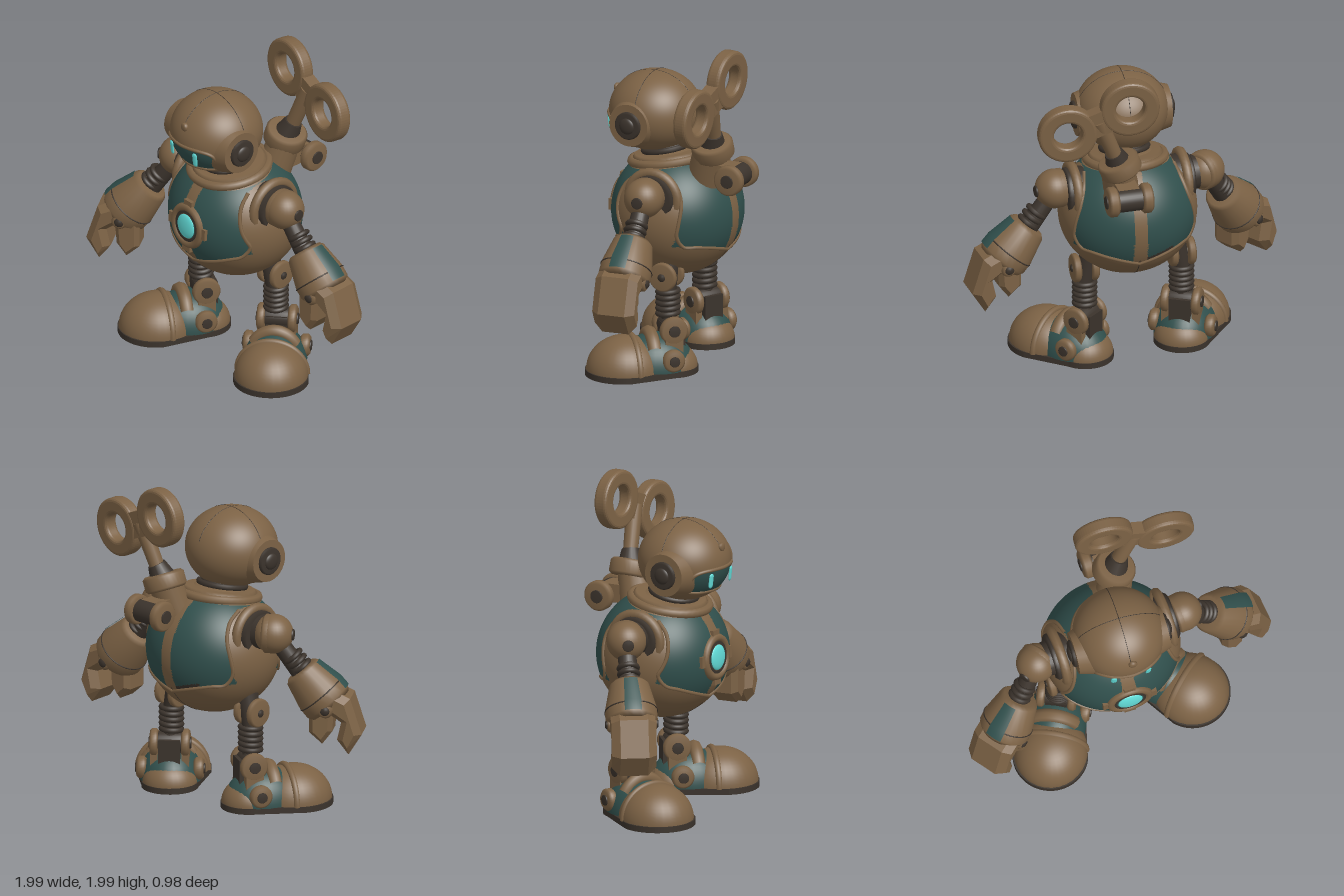
import * as THREE from 'three';

const mat = (name, color) => {
  const m = new THREE.MeshStandardMaterial({ color });
  m.name = name;
  return m;
};

export function createModel() {
  const brown = mat('bronze brown', 0x7c6245);
  const teal = mat('dark teal', 0x304f4c);
  const dark = mat('dark iron', 0x3b332c);
  const glow = mat('cyan glow', 0x62dcd8);
  const brownFlat = mat('faceted bronze', 0x7c6245);
  brownFlat.flatShading = true;
  const root = new THREE.Group();
  root.name = 'windUpRobot';

  const group = (parent, name, x = 0, y = 0, z = 0) => {
    const g = new THREE.Group();
    g.name = name;
    g.position.set(x, y, z);
    parent.add(g);
    return g;
  };
  const add = (parent, name, geo, material, x = 0, y = 0, z = 0) => {
    const m = new THREE.Mesh(geo, material);
    m.name = name;
    m.position.set(x, y, z);
    parent.add(m);
    return m;
  };
  // Rounded-edge disc or drum lying along an axis
  const drum = (parent, name, r, len, material, x, y, z, axis = 'y') => {
    const b = Math.min(0.015, len / 4), h = len / 2;
    const pts = [[0, -h], [r - b, -h], [r, -h + b], [r, h - b], [r - b, h], [0, h]];
    const geo = new THREE.LatheGeometry(pts.map(p => new THREE.Vector2(...p)), 32);
    if (axis === 'x') geo.rotateZ(Math.PI / 2);
    if (axis === 'z') geo.rotateX(Math.PI / 2);
    return add(parent, name, geo, material, x, y, z);
  };
  // Rod between two points
  const rod = (parent, name, a, b, r1, r2, material, sides = 20) => {
    const A = new THREE.Vector3(...a), B = new THREE.Vector3(...b), d = B.clone().sub(A);
    const m = add(parent, name, new THREE.CylinderGeometry(r2, r1, d.length(), sides), material);
    m.position.copy(A).addScaledVector(d, 0.5);
    m.quaternion.setFromUnitVectors(new THREE.Vector3(0, 1, 0), d.normalize());
    return m;
  };
  // Ellipsoid whose faces are sorted between colours by a rule on the direction
  const paintedBall = (parent, name, [rx, ry, rz], [w, h], materials, rule) => {
    const geo = new THREE.SphereGeometry(1, w, h), p = geo.attributes.position, idx = geo.index.array;
    const sets = materials.map(() => []), c = new THREE.Vector3(), v = new THREE.Vector3();
    for (let i = 0; i < idx.length; i += 3) {
      c.set(0, 0, 0);
      for (let k = 0; k < 3; k++) c.add(v.fromBufferAttribute(p, idx[i + k]));
      sets[rule(c.divideScalar(3))].push(idx[i], idx[i + 1], idx[i + 2]);
    }
    geo.setIndex(sets.flat());
    let start = 0;
    sets.forEach((s, i) => {
      geo.addGroup(start, s.length, i);
      start += s.length;
    });
    geo.scale(rx, ry, rz);
    return add(parent, name, geo, materials);
  };
  const dome = (rx, ry, rz) => new THREE.SphereGeometry(1, 32, 14, 0, Math.PI * 2, 0, Math.PI / 2).scale(rx, ry, rz);
  const ring = (r, t, arc = Math.PI * 2) => new THREE.TorusGeometry(r, t, 8, 40, arc);

  // Round body: teal panels inside brown collar, belt, side plates and strips
  const body = group(root, 'body', 0, 0.93, 0.045);
  body.rotation.set(0.15, -0.05, 0);
  const B = [0.42, 0.395, 0.395];
  const sideEdge = y => 0.87 - 0.3 * Math.max(y, 0);
  const beltEdge = (a, front) => (front ? -0.46 : -0.66) + 0.33 * a;
  paintedBall(body, 'bodyShell', B, [200, 120], [brown, teal, dark], ({ x, y, z }) => {
    const a = Math.abs(x), front = z > 0, low = beltEdge(a, front);
    if (a < 0.1 || a > sideEdge(y) || y > 0.78 || y < low) return 0;
    return !front && x < 0 && x > -0.5 && y < low + 0.07 ? 2 : 1;
  });
  // Raised trim along the belt and up the side plates
  for (const sx of [-1, 1]) for (const sz of [-1, 1]) {
    const pts = [], corner = beltEdge(0.87, sz > 0);
    const put = (a, y) => pts.push(new THREE.Vector3(sx * a * B[0], y * B[1], sz * Math.sqrt(Math.max(0, 1 - a * a - y * y)) * B[2]));
    for (let i = 0; i < 7; i++) put(0.13 * i, beltEdge(0.13 * i, sz > 0));
    for (let i = 1; i < 8; i++) {
      const y = corner + (0.72 - corner) * i / 7;
      put(sideEdge(y), y);
    }
    add(body, 'panelTrim', new THREE.TubeGeometry(new THREE.CatmullRomCurve3(pts), 60, 0.012, 6), brown);
  }
  add(body, 'collar', ring(0.235, 0.028).rotateX(Math.PI / 2), brown, 0, 0.325, 0);
  drum(body, 'collarPlate', 0.225, 0.06, brown, 0, 0.335, 0);
  add(body, 'bodySeam', ring(0.394, 0.003, Math.PI * 0.6).rotateZ(Math.PI * 1.2).rotateY(Math.PI / 2), dark);
  // Chest lamp
  const lamp = group(body, 'chestLamp');
  lamp.rotation.x = -0.19;
  add(lamp, 'lampRim', ring(0.118, 0.026), brown, 0, 0, 0.37);
  drum(lamp, 'lampSocket', 0.112, 0.05, dark, 0, 0, 0.362, 'z');
  add(lamp, 'lampLens', dome(0.078, 0.02, 0.078).rotateX(Math.PI / 2), glow, 0, 0, 0.385);
  for (let i = 0; i < 4; i++) {
    const a = i * Math.PI / 2;
    add(lamp, 'lampLug', new THREE.BoxGeometry(0.07, 0.07, 0.04), brown, 0.133 * Math.cos(a), 0.133 * Math.sin(a), 0.362);
  }

  // Neck and head
  rod(root, 'neck', [0, 1.22, 0.09], [0, 1.36, 0.15], 0.14, 0.13, dark);
  for (const t of [0, 1]) add(root, 'neckRing', ring(0.14, 0.018).rotateX(Math.PI / 2 + 0.2), dark, 0, 1.27 + t * 0.035, 0.11 + t * 0.01);
  const R = [0.28, 0.247, 0.28];
  const head = group(root, 'head', -0.005, 1.527, 0.195);
  head.rotation.y = -0.06;
  const vis = { y: -0.088, w: 0.205, h: 0.075 };
  paintedBall(head, 'headShell', R, [144, 90], [brown, teal], ({ x, y, z }) => z > 0 &&
    Math.abs(x * R[0] / vis.w) ** 5 + Math.abs((y * R[1] - vis.y) / vis.h) ** 4 < 1 ? 1 : 0);
  const onHead = (x, y) => new THREE.Vector3(x, y, R[2] * Math.sqrt(1 - (x / R[0]) ** 2 - (y / R[1]) ** 2));
  const rim = [];
  for (let i = 0; i < 32; i++) {
    const a = i / 32 * Math.PI * 2, c = Math.cos(a), s = Math.sin(a);
    rim.push(onHead(vis.w * Math.sign(c) * Math.abs(c) ** 0.4, vis.y + vis.h * Math.sign(s) * Math.abs(s) ** 0.5));
  }
  add(head, 'visorFrame', new THREE.TubeGeometry(new THREE.CatmullRomCurve3(rim, true), 96, 0.011, 8, true), brown);
  const eyeGeo = new THREE.CapsuleGeometry(0.018, 0.056, 6, 12).scale(1, 1, 0.4);
  for (const s of [-1, 1]) {
    const p = onHead(s * 0.108, -0.08), ear = s * (s > 0 ? 0.28 : 0.295);
    add(head, 'eye', eyeGeo, glow, p.x, p.y, p.z + 0.014).rotation.set(0.12, s * 0.2, 0);
    rod(head, 'earPlate', [s * 0.17, -0.035, 0.035], [ear, -0.035, 0.035], 0.165, 0.13, brown, 32);
    drum(head, 'earHub', 0.085, 0.04, dark, ear, -0.035, 0.035, 'x');
    add(head, 'earKnob', dome(0.05, 0.02, 0.05).rotateZ(-s * Math.PI / 2), dark, ear + s * 0.018, -0.035, 0.035);
  }
  drum(head, 'foreheadStud', 0.026, 0.03, brown, 0.01, 0.105, 0.255, 'z');
  add(head, 'crownSeam', ring(1, 0.007, Math.PI * 0.75).rotateZ(0.45).rotateY(-Math.PI / 2).scale(...R), dark);
  add(head, 'crossSeam', ring(1, 0.007, Math.PI * 0.8).rotateZ(0.3).scale(...R), dark);

  // Arms, swung about the shoulder
  const toShape = (pts, s) => new THREE.Shape(pts.map(([x, y]) => new THREE.Vector2(s * x, y)));
  const finger = [[0.35, -0.3], [0.48, -0.36], [0.55, -0.58], [0.47, -0.71], [0.4, -0.62], [0.425, -0.51], [0.35, -0.46], [0.27, -0.39]];
  const thumb = [[0.22, -0.43], [0.3, -0.37], [0.37, -0.46], [0.36, -0.59], [0.3, -0.67], [0.22, -0.6]];
  const slab = (pts, s, depth, b) => new THREE.ExtrudeGeometry(toShape(pts, s),
    { depth: depth - 2 * b, bevelEnabled: true, bevelSize: b * 0.75, bevelThickness: b, bevelOffset: -b * 0.75, bevelSegments: 1 }).translate(0, 0, b - depth / 2);
  const cuff = [[0, 0], [0.1, 0], [0.12, 0.02], [0.157, 0.18], [0.158, 0.25], [0.14, 0.28], [0, 0.28]];
  const stripe = cuff.slice(2, 5).map(([r, y]) => [r + 0.006, y]);
  const V2 = a => a.map(p => new THREE.Vector2(...p));
  for (const s of [-1, 1]) {
    const side = s > 0 ? 'left' : 'right';
    const sx = s > 0 ? 0.45 : -0.485;
    add(root, side + 'SocketRing', ring(0.16, 0.03).rotateY(Math.PI / 2), brown, s * 0.34, 1.08, 0.05);
    drum(root, side + 'SocketPlate', 0.145, 0.14, dark, s * 0.325, 1.085, 0.05, 'x');
    rod(root, side + 'ShoulderAxle', [s * 0.3, 1.1, 0.05], [sx, 1.11, 0.06], 0.115, 0.1, dark);
    const arm = group(root, side + 'Arm', sx, 1.11, 0.06);
    arm.rotation.y = s > 0 ? 0.07 : 0.6;
    add(arm, 'shoulderBall', new THREE.SphereGeometry(0.12, 32, 20), brown);
    drum(arm, 'shoulderCap', 0.118, 0.08, brown, -s * 0.022, 0, 0, 'x');
    drum(arm, 'shoulderBolt', 0.035, 0.02, dark, s * 0.115, 0, 0, 'x');
    rod(arm, 'upperArm', [s * 0.04, -0.06, 0], [s * 0.18, -0.25, 0], 0.055, 0.06, dark);
    const d = new THREE.Vector3(s * 0.655, -0.756, 0);
    const turn = new THREE.Quaternion().setFromUnitVectors(new THREE.Vector3(0, 1, 0), d);
    for (const t of [0.18, 0.22, 0.26]) {
      add(arm, 'elbowRing', ring(0.055, 0.016).rotateX(Math.PI / 2), dark, d.x * t, d.y * t, 0).quaternion.copy(turn);
    }
    const forearm = group(arm, 'forearm', s * 0.165, -0.217, 0);
    forearm.quaternion.copy(turn);
    add(forearm, 'cuff', new THREE.LatheGeometry(V2(cuff), 24), brown);
    add(forearm, 'cuffStripe', new THREE.LatheGeometry(V2(stripe), 6, -s * Math.PI / 2 - 0.32, 0.64), teal);
    add(forearm, 'cuffSeam', ring(0.157, 0.004).rotateX(Math.PI / 2), dark, 0, 0.19, 0);
    // Clamp hand: one broad mitten and a thumb on a pivot
    add(arm, 'mitten', slab(finger, s, 0.27, 0.05), brownFlat);
    add(arm, 'thumb', slab(thumb, s, 0.19, 0.035), brownFlat, 0, 0, 0.035);
    drum(arm, 'handPivot', 0.048, 0.3, brown, s * 0.335, -0.425, 0, 'z');
    drum(arm, 'handPivotBolt', 0.034, 0.32, dark, s * 0.335, -0.425, 0, 'z');
  }

  // Legs and feet
  const sole = new THREE.Shape();
  sole.absarc(0, 0, 0.172, 0, Math.PI);
  sole.absarc(0, -0.29, 0.228, Math.PI, Math.PI * 2);
  const soleGeo = new THREE.ExtrudeGeometry(sole, { depth: 0.036, bevelEnabled: false, curveSegments: 20 }).rotateX(-Math.PI / 2);
  for (const s of [-1, 1]) {
    const side = s > 0 ? 'left' : 'right';
    const x = s > 0 ? 0.285 : -0.33, z = s > 0 ? -0.035 : 0.01;
    const leg = group(root, side + 'Leg', x, 0, z);
    rod(leg, 'hip', [-s * 0.06, 0.74, 0.03], [0, 0.5, 0.02], 0.075, 0.055, dark);
    for (const k of [-1, 1]) drum(leg, 'hipDisc', 0.088, 0.045, brown, k * 0.055, 0.595, 0.02, 'x');
    drum(leg, 'hipPin', 0.032, 0.17, dark, 0, 0.595, 0.02, 'x');
    rod(leg, 'springCore', [0, 0.5, 0.02], [0, 0.28, 0], 0.045, 0.045, dark);
    for (let i = 0; i < 5; i++) add(leg, 'springCoil', ring(0.062, 0.016).rotateX(Math.PI / 2 + 0.08), dark, 0, 0.36 + i * 0.034, 0.012);
    const foot = group(leg, side + 'Foot');
    foot.rotation.y = s > 0 ? 0.69 : -0.5;
    add(foot, 'sole', soleGeo, dark);
    add(foot, 'footSides', dome(0.19, 0.21, 0.24), teal, 0, 0.034, 0.09);
    add(foot, 'heelCap', dome(0.166, 0.14, 0.155), brown, 0, 0.034, -0.012);
    add(foot, 'toeCap', dome(0.222, 0.205, 0.235), brown, 0, 0.034, 0.277);
    add(foot, 'toeRim', ring(0.21, 0.02, Math.PI).scale(1, 0.95, 1), brown, 0, 0.034, 0.235);
    add(foot, 'instepStrap', ring(0.16, 0.032, Math.PI * 0.6).rotateZ(Math.PI * 0.2).scale(1, 1.2, 1.3), brown, 0, 0.055, 0.125);
    add(foot, 'ankleBlock', new THREE.BoxGeometry(0.13, 0.22, 0.14), dark, 0, 0.2, -0.01);
    drum(foot, 'anklePin', 0.065, 0.16, dark, 0, 0.28, 0, 'x');
    for (const k of [-1, 1]) {
      drum(foot, 'ankleDisc', 0.085, 0.05, brown, k * 0.095, 0.275, 0, 'x');
      drum(foot, 'ankleBolt', 0.035, 0.012, dark, k * 0.122, 0.275, 0, 'x');
      add(foot, 'ankleFork', new THREE.BoxGeometry(0.045, 0.14, 0.11), brown, k * 0.095, 0.2, 0);
      drum(foot, 'sideDisc', 0.068, 0.06, brown, k * 0.172, 0.11, 0.02, 'x');
      drum(foot, 'sideBolt', 0.032, 0.012, dark, k * 0.204, 0.11, 0.02, 'x');
    }
  }

  // Wind-up key with its mount and rear roller
  const key = group(root, 'windUpKey', 0.275, 1.73, -0.3);
  key.rotation.set(-0.04, -0.1, -0.38);
  const loop = new THREE.Shape().absarc(0, 0, 0.18, 0, Math.PI * 2);
  loop.holes.push(new THREE.Path().absarc(0, 0, 0.086, 0, Math.PI * 2, true));
  const loopGeo = new THREE.ExtrudeGeometry(loop, { depth: 0.05, bevelSize: 0.02, bevelThickness: 0.02, bevelOffset: -0.02, bevelSegments: 3, curveSegments: 32 }).translate(0, 0, -0.025);
  for (const k of [-1, 1]) add(key, 'keyLoop', loopGeo, brown, k * 0.203, 0, 0);
  add(key, 'keyWeb', new THREE.BoxGeometry(0.14, 0.16, 0.08), brown, 0, -0.01, 0);
  rod(key, 'keyStem', [0, 0, 0], [0, -0.28, 0.03], 0.05, 0.045, brown);
  rod(key, 'keyShaft', [0, -0.27, 0.03], [0, -0.36, 0.05], 0.055, 0.08, dark);
  drum(key, 'keyCollar', 0.128, 0.1, brown, 0, -0.385, 0.055);
  rod(root, 'keyMount', [0.14, 1.36, -0.23], [0.09, 1.14, -0.17], 0.1, 0.11, brown);
  add(root, 'rollerBracket', new THREE.BoxGeometry(0.13, 0.11, 0.2), brown, 0.11, 1.23, -0.3);
  drum(root, 'rollerCore', 0.07, 0.2, dark, 0.11, 1.215, -0.395, 'x');
  for (const k of [-1, 1]) {
    drum(root, 'rollerDisc', 0.092, 0.065, brown, 0.11 + k * 0.105, 1.215, -0.395, 'x');
    drum(root, 'rollerBolt', 0.04, 0.012, dark, 0.11 + k * 0.14, 1.215, -0.395, 'x');
  }
  return root;
}
